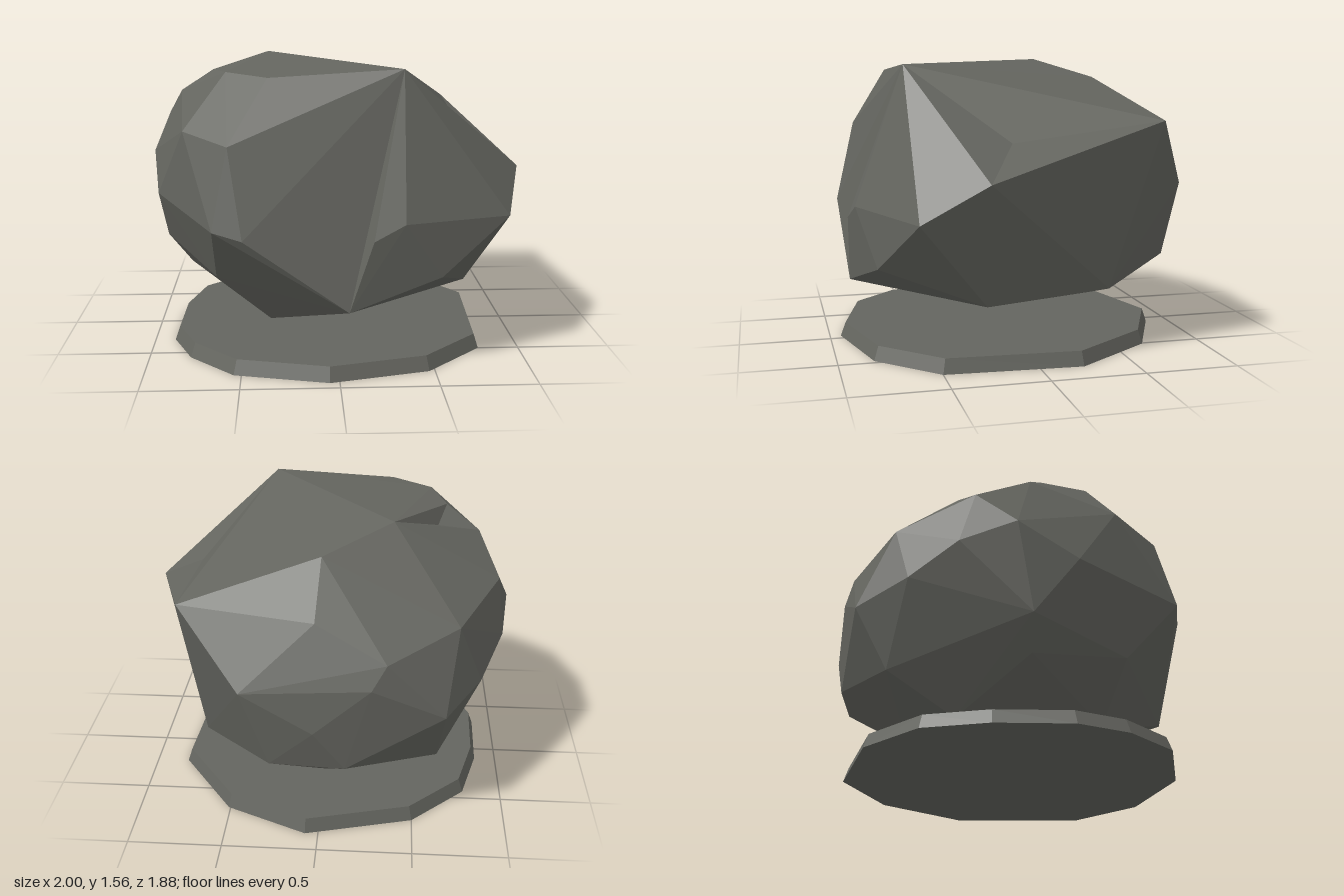
import * as THREE from 'three';
import { ConvexGeometry } from 'three/addons/geometries/ConvexGeometry.js';

// Corners of the main boulder, grouped by side
const boulderCorners = [
  // crown
  [0.34, 1.54, 0.62], [-0.36, 1.56, -0.28], [-0.35, 1.5, 0.63], [-0.57, 1.51, 0.43],
  [-0.65, 1.5, 0.18], [0, 1.46, -0.53], [0.72, 1.25, -0.69],
  // right flank
  [1, 0.98, 0.3], [0.9, 0.78, 0.63], [0.73, 0.32, 0.26], [0.65, 0.36, -0.42],
  // front
  [0.05, 0.35, 0.89], [-0.48, 0.73, 0.91], [-0.63, 0.77, 0.88], [-0.63, 0.46, 0.6],
  [-0.55, 1.18, 0.8],
  // left flank
  [-0.79, 1.22, 0.55], [-0.83, 1.38, 0.1], [-0.95, 0.85, 0.33], [-1, 1.03, 0.02],
  [-0.93, 1.22, -0.19], [-0.96, 0.93, -0.27], [-0.95, 0.77, 0], [-0.93, 0.56, 0.1],
  [-0.8, 0.4, 0.1], [-0.84, 0.78, -0.52],
  // back
  [0.39, 0.88, -0.92], [0.02, 0.67, -0.935], [0.25, 0.45, -0.88], [-0.14, 0.44, -0.89],
  [-0.27, 0.9, -0.89], [-0.345, 1.02, -0.84], [-0.71, 1.12, -0.6], [0.02, 1.2, -0.76],
  [-0.65, 0.7, -0.79], [-0.62, 0.37, -0.62],
  // underside
  [-0.54, 0.15, -0.27], [0, 0.18, -0.52], [-0.35, 0.19, 0.5],
];

// Bulge on the front right, leaving a crease from the crown to the lower front corner
const bulgeCorners = [
  [0.34, 1.54, 0.62], [0.33, 1.33, 0.69], [0.33, 0.8, 0.88], [0.17, 0.72, 0.905],
  [0.05, 0.35, 0.89], [0.53, 0.5, 0.79], [0.9, 0.78, 0.63], [0.73, 0.32, 0.26],
  [0.4, 0.8, 0.3],
];

// Chips pressed into the boulder's faces
const chips = [[0.73, 1.15, 0.13], [-0.6, 1.43, 0.03]];

// Outline of the slab as x, z pairs
const slabOutline = [
  [-0.54, 0.82], [-0.05, 0.94], [0.47, 0.81], [0.78, 0.5], [0.82, -0.23], [0.51, -0.67],
  [0.07, -0.87], [-0.5, -0.72], [-0.79, -0.44], [-0.88, -0.1], [-0.89, 0.3], [-0.78, 0.57],
];

const toVector = (p) => new THREE.Vector3(...p);
const hullOf = (points) => new ConvexGeometry(points.map(toVector));

// The face in front of each chip is split into three at the chip point
function chipped(hull) {
  const corners = hull.getAttribute('position');
  let faces = [];
  for (let i = 0; i < corners.count; i += 3) {
    faces.push([0, 1, 2].map((k) => new THREE.Vector3().fromBufferAttribute(corners, i + k)));
  }
  const center = new THREE.Vector3(0, 0.85, 0);
  for (const chip of chips.map(toVector)) {
    const ray = new THREE.Ray(center, chip.clone().sub(center).normalize());
    faces = faces.flatMap(([a, b, c]) =>
      ray.intersectTriangle(a, b, c, false, new THREE.Vector3())
        ? [[a, b, chip], [b, c, chip], [c, a, chip]]
        : [[a, b, c]]);
  }
  const geometry = new THREE.BufferGeometry().setFromPoints(faces.flat());
  geometry.computeVertexNormals();
  return geometry;
}

export function createModel() {
  const group = new THREE.Group();
  group.name = 'boulderOnSlab';
  const stone = new THREE.MeshStandardMaterial({ color: 0x64655f, flatShading: true });
  stone.name = 'greyStone';

  const add = (name, geometry) => {
    const mesh = new THREE.Mesh(geometry, stone);
    mesh.name = name;
    group.add(mesh);
  };

  add('boulder', chipped(hullOf(boulderCorners)));
  add('frontBulge', hullOf(bulgeCorners));

  // Thin faceted slab with a slightly smaller top
  add('baseSlab', hullOf(slabOutline.flatMap(([x, z]) => [
    [x, 0, z], [x * 0.97, 0.077, z * 0.97],
  ])));

  return group;
}
